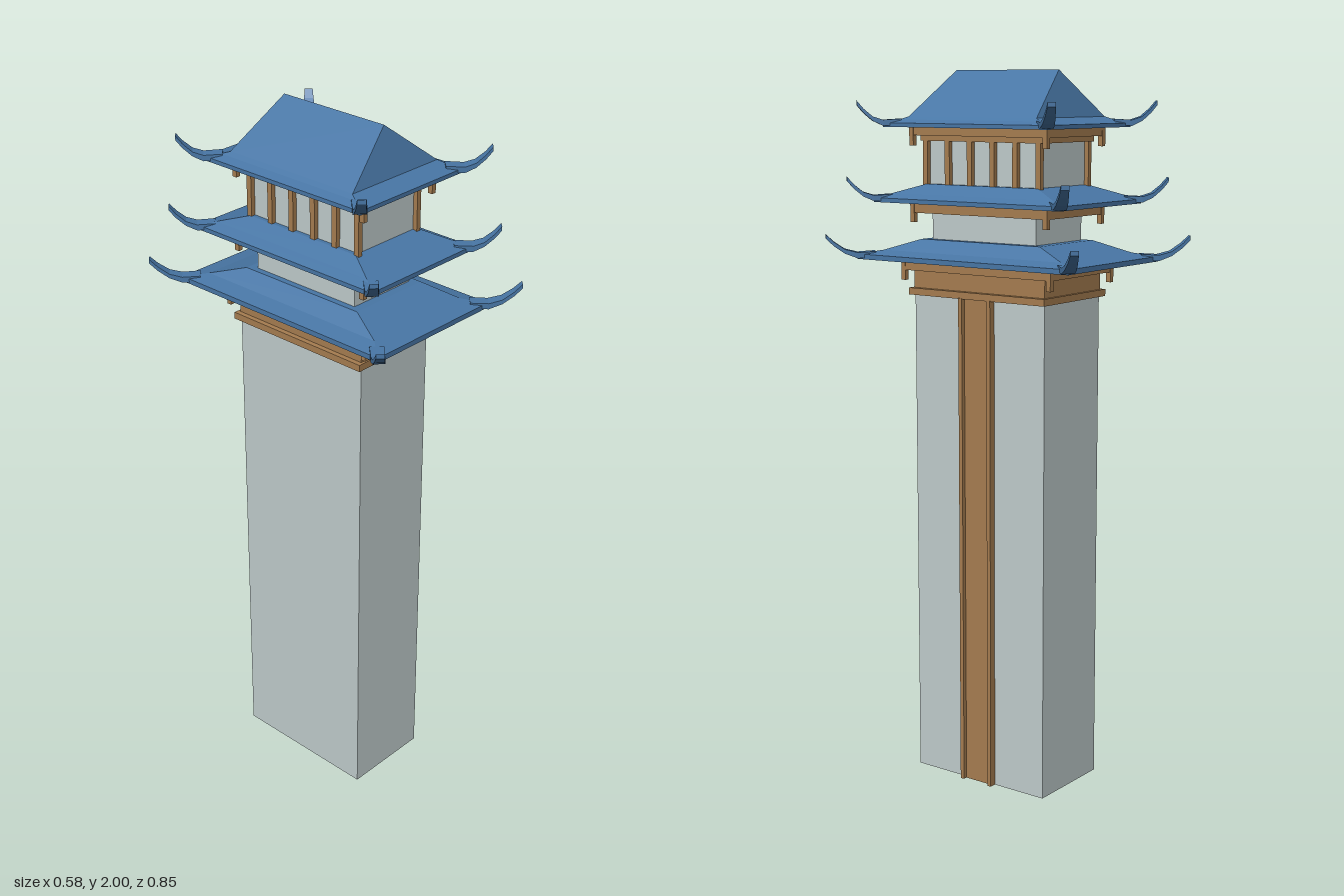
import * as THREE from 'three';

const material = (color) => new THREE.MeshStandardMaterial({ color, flatShading: true });
const stone = material(0xc0cccc);
const wood = material(0xa67d50);
const tile = material(0x4876a5);

// Skin over four-cornered rings, capped at both ends
function loft(rings) {
  const pos = [];
  const tri = (a, b, c) => {
    const n = b.clone().sub(a).cross(c.clone().sub(a));
    if (n.lengthSq() > 1e-14) for (const p of [a, b, c]) pos.push(p.x, p.y, p.z);
  };
  const quad = (a, b, c, d) => { tri(a, b, c); tri(a, c, d); };
  for (let k = 0; k < rings.length - 1; k++) {
    for (let i = 0; i < 4; i++) {
      const j = (i + 1) % 4;
      quad(rings[k][i], rings[k][j], rings[k + 1][j], rings[k + 1][i]);
    }
  }
  quad(...[...rings[0]].reverse());
  quad(...rings[rings.length - 1]);
  const g = new THREE.BufferGeometry();
  g.setAttribute('position', new THREE.Float32BufferAttribute(pos, 3));
  g.computeVertexNormals();
  return g;
}

// Horizontal rectangle with half sizes x and z
const rect = ([x, z, y]) => [[x, z], [x, -z], [-x, -z], [-x, z]]
  .map(([px, pz]) => new THREE.Vector3(px, y, pz));

export function createModel() {
  const root = new THREE.Group();

  const add = (parent, name, geometry, mat) => {
    const m = new THREE.Mesh(geometry, mat);
    m.name = name;
    parent.add(m);
    return m;
  };
  // Box from half sizes in x and z and its bottom and top heights
  const block = (parent, name, hx, hz, y0, y1, mat, x = 0, z = 0) => {
    const m = add(parent, name, new THREE.BoxGeometry(2 * hx, y1 - y0, 2 * hz), mat);
    m.position.set(x, (y0 + y1) / 2, z);
  };
  const group = (name) => {
    const g = new THREE.Group();
    g.name = name;
    root.add(g);
    return g;
  };

  // Upturned horn on a roof corner: [outward offset, height, half width]
  const horn = (ex, ez, y, reach, sx, sz) => {
    const path = [
      [-0.035, 0.014, 0.019], [0, 0.011, 0.018], [reach * 0.4, 0.022, 0.016],
      [reach * 0.75, 0.043, 0.013], [reach, 0.064, 0.011],
    ];
    const side = new THREE.Vector3(sz, 0, -sx).multiplyScalar(Math.SQRT1_2);
    return loft(path.map(([o, h, w], k) => {
      const c = new THREE.Vector3(sx * (ex + o), y + h, sz * (ez + o));
      const t = k < 2 ? 0.008 : 0.006;
      return [[1, -1], [1, 1], [-1, 1], [-1, -1]].map(([s, u]) =>
        c.clone().addScaledVector(side, s * w).add(new THREE.Vector3(0, u * t, 0)));
    }));
  };

  // Flared roof from eave to top with four horns
  const roof = (name, rings, reach) => {
    const g = group(name);
    add(g, 'roofSkirt', loft(rings.map(rect)), tile);
    const [ex, ez, y] = rings[0];
    for (const sx of [-1, 1]) for (const sz of [-1, 1]) {
      add(g, 'roofHorn', horn(ex, ez, y, reach, sx, sz), tile);
    }
    return g;
  };

  // Beam frame under the eaves with a short post at each corner
  const eaveFrame = (name, hx, hz, y0, y1, drop) => {
    const g = group(name);
    block(g, 'eaveBeam', hx, hz, y0, y1, wood);
    for (const sx of [-1, 1]) for (const sz of [-1, 1]) {
      block(g, 'cornerPost', 0.007, 0.007, drop, y1, wood, sx * (hx - 0.006), sz * (hz - 0.006));
    }
    return g;
  };

  // Tall shaft with a channelled strip on its left side
  block(root, 'shaft', 0.13, 0.22, 0, 1.4, stone);
  const strip = group('sideStrip');
  block(strip, 'stripPanel', 0.005, 0.05, 0, 1.39, wood, 0.133);
  for (const s of [-1, 1]) block(strip, 'stripRail', 0.01, 0.006, 0, 1.39, wood, 0.14, s * 0.048);

  // Lower tier
  block(root, 'lowerLedge', 0.147, 0.23, 1.388, 1.407, wood);
  block(root, 'lowerCollar', 0.132, 0.222, 1.407, 1.46, wood);
  eaveFrame('lowerFrame', 0.15, 0.252, 1.456, 1.486, 1.428);
  roof('lowerRoof', [
    [0.218, 0.355, 1.485], [0.218, 0.355, 1.499], [0.17, 0.3, 1.51], [0.125, 0.2, 1.542],
  ], 0.062);

  // Middle tier
  block(root, 'middleWalls', 0.107, 0.175, 1.53, 1.62, stone);
  eaveFrame('middleFrame', 0.135, 0.23, 1.614, 1.643, 1.588);
  roof('middleRoof', [
    [0.195, 0.312, 1.643], [0.195, 0.312, 1.655], [0.165, 0.268, 1.668], [0.118, 0.188, 1.693],
  ], 0.052);

  // Upper tier with a row of columns on each long side
  block(root, 'upperWalls', 0.106, 0.185, 1.685, 1.82, stone);
  const columns = group('columns');
  for (const sx of [-1, 1]) for (let i = 0; i < 6; i++) {
    block(columns, 'column', 0.007, 0.008, 1.685, 1.815, wood, sx * 0.112, -0.19 + i * 0.076);
  }
  block(root, 'upperCollar', 0.12, 0.205, 1.81, 1.828, wood);
  eaveFrame('upperFrame', 0.136, 0.23, 1.825, 1.849, 1.797);
  const top = roof('upperRoof', [
    [0.198, 0.273, 1.848], [0.198, 0.273, 1.859], [0.172, 0.235, 1.868], [0.158, 0.21, 1.877],
  ], 0.05);

  // Steep cap rising to a ridge along z
  add(top, 'ridgeCap', loft([[0.162, 0.214, 1.874], [0, 0.172, 2]].map(rect)), tile);

  return root;
}
